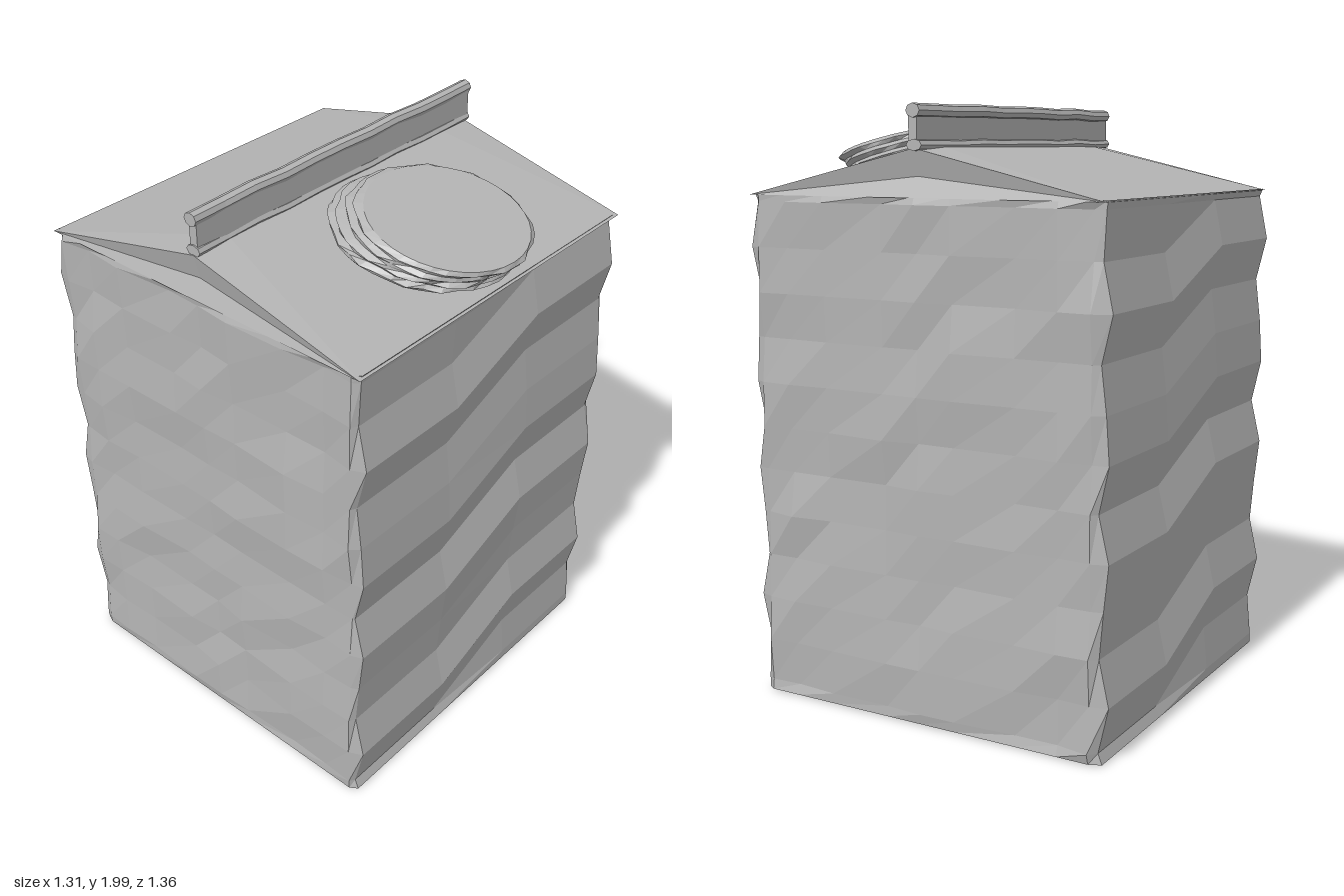
import * as THREE from 'three';

// Repeatable noise in -1..1
const noise = (a, b) => {
  const s = Math.sin(a * 127.1 + b * 311.7) * 43758.5453;
  return 2 * (s - Math.floor(s)) - 1;
};

function meshFrom(name, points, faces, material) {
  const g = new THREE.BufferGeometry();
  g.setAttribute('position', new THREE.Float32BufferAttribute(points.flat(), 3));
  g.setIndex(faces.flat());
  const flat = g.toNonIndexed();
  flat.computeVertexNormals();
  const mesh = new THREE.Mesh(flat, material);
  mesh.name = name;
  return mesh;
}

// Crumpled wall: how far a panel bulges at height y, with slanting ridges
const ridge = (y, phase) => 0.02 * Math.cos((2 * Math.PI * (y - phase)) / 0.4);

function buildBody(material) {
  const wallX = [-0.625, -0.2, 0.2, 0.625];
  const phases = [0.2, 0.2, 0.35, 0.35];
  const sideZ = [0.61, 0.5, 0.35, 0.13, 0, -0.13, -0.35, -0.5, -0.61];
  const rows = [0.015, 0.05];
  for (let i = 1; i <= 11; i++) rows.push(0.05 + i * 0.149);
  rows.push(1.715);

  const points = [], faces = [];
  rows.forEach((y, r) => {
    const rim = r === 0 || r === rows.length - 1;
    const wave = (p) => (rim ? 0 : ridge(y, p));
    const dent = (j, side) => (rim ? 0 : 0.012 * noise(r + side * 31, j));
    wallX.forEach((x, j) => points.push([x, y, 0.636 + wave(phases[j])]));
    sideZ.forEach((z, j) => points.push([0.642 + dent(j, 1), y, z]));
    wallX.forEach((x, j) => points.push([-x, y, -0.65 - wave(phases[j])]));
    sideZ.forEach((z, j) => points.push([-0.642 - dent(j, 2), y, -z]));
  });
  const n = 2 * (wallX.length + sideZ.length);
  for (let r = 0; r < rows.length - 1; r++) {
    for (let j = 0; j < n; j++) {
      const k = (j + 1) % n;
      const a = r * n + j, b = r * n + k, c = b + n, d = a + n;
      faces.push([a, b, c], [a, c, d]);
    }
  }
  // Base panel
  points.push([0, 0.01, 0]);
  for (let j = 0; j < n; j++) faces.push([points.length - 1, (j + 1) % n, j]);
  return meshFrom('body', points, faces, material);
}

function buildRoof(material) {
  const points = [], faces = [];
  // Per end: front corner, back corner, inner ridge, outer ridge, gable centre
  for (const s of [-1, 1]) {
    points.push([s * 0.645, 1.71, 0.645], [s * 0.645, 1.71, -0.652],
      [s * 0.5, 1.87, 0], [s * 0.64, 1.86, 0], [s * 0.618, 1.775, 0]);
  }
  faces.push([0, 5, 7], [0, 7, 2], [6, 1, 2], [6, 2, 7]); // slopes
  faces.push([5, 8, 7], [8, 6, 7], [5, 9, 8], [9, 6, 8], [5, 6, 9]); // +x gable
  faces.push([0, 2, 3], [3, 2, 1], [0, 3, 4], [4, 3, 1], [0, 4, 1]); // -x gable
  faces.push([0, 1, 6], [0, 6, 5]); // underside
  return meshFrom('roof', points, faces, material);
}

// Long strip along x with a slightly uneven surface
function crumpledBar(name, radiusY, radiusZ, length, y, material) {
  const g = new THREE.CylinderGeometry(1, 1, length, 8, 10);
  g.rotateZ(Math.PI / 2);
  g.scale(1, radiusY, radiusZ);
  const p = g.attributes.position;
  for (let i = 0; i < p.count; i++) {
    const step = Math.round(p.getX(i) * 10);
    p.setY(i, p.getY(i) + 0.003 * noise(step, 5));
    p.setZ(i, p.getZ(i) + 0.005 * noise(step, 9));
  }
  const mesh = new THREE.Mesh(g, material);
  mesh.name = name;
  mesh.position.set(0.008, y, -0.005);
  return mesh;
}

function buildCap(material) {
  const height = 0.105, lean = 0.08, layers = 8;
  const g = new THREE.CylinderGeometry(1, 1, height, 36, layers);
  const p = g.attributes.position;
  for (let i = 0; i < p.count; i++) {
    const x = p.getX(i), z = p.getZ(i), t = p.getY(i) / height + 0.5;
    const layer = Math.round(t * layers);
    const spoke = Math.round((Math.atan2(z, x) / (2 * Math.PI)) * 36 + 36) % 36;
    // Stacked ragged ribs narrowing to the top disc
    const rib = layer % 2 ? 0.009 : -0.004;
    const ragged = layer === layers ? 0 : 0.007 * noise(spoke, layer);
    const r = THREE.MathUtils.lerp(0.29, 0.262, t) + rib + ragged;
    p.setX(i, x * r);
    p.setZ(i, z * r + lean * (t - 0.5));
  }
  const cap = new THREE.Mesh(g, material);
  cap.name = 'cap';
  cap.position.set(-0.003, 1.844, 0.384);
  cap.rotation.x = 0.24;
  return cap;
}

export function createModel() {
  const card = new THREE.MeshStandardMaterial({ color: 0xb4b4b4 });
  card.name = 'grey card';
  card.flatShading = true;

  const carton = new THREE.Group();
  carton.name = 'carton';
  carton.add(buildBody(card), buildRoof(card), buildCap(card));

  // Sealed fin along the ridge, with a rolled top edge and a base crease
  const fin = new THREE.Group();
  fin.name = 'ridgeFin';
  const sheet = new THREE.Mesh(new THREE.BoxGeometry(1.28, 0.12, 0.03), card);
  sheet.name = 'finSheet';
  sheet.position.set(0.008, 1.918, -0.002);
  fin.add(sheet,
    crumpledBar('finRoll', 0.022, 0.025, 1.3, 1.975, card),
    crumpledBar('finCrease', 0.018, 0.028, 1.29, 1.872, card));
  carton.add(fin);
  return carton;
}
